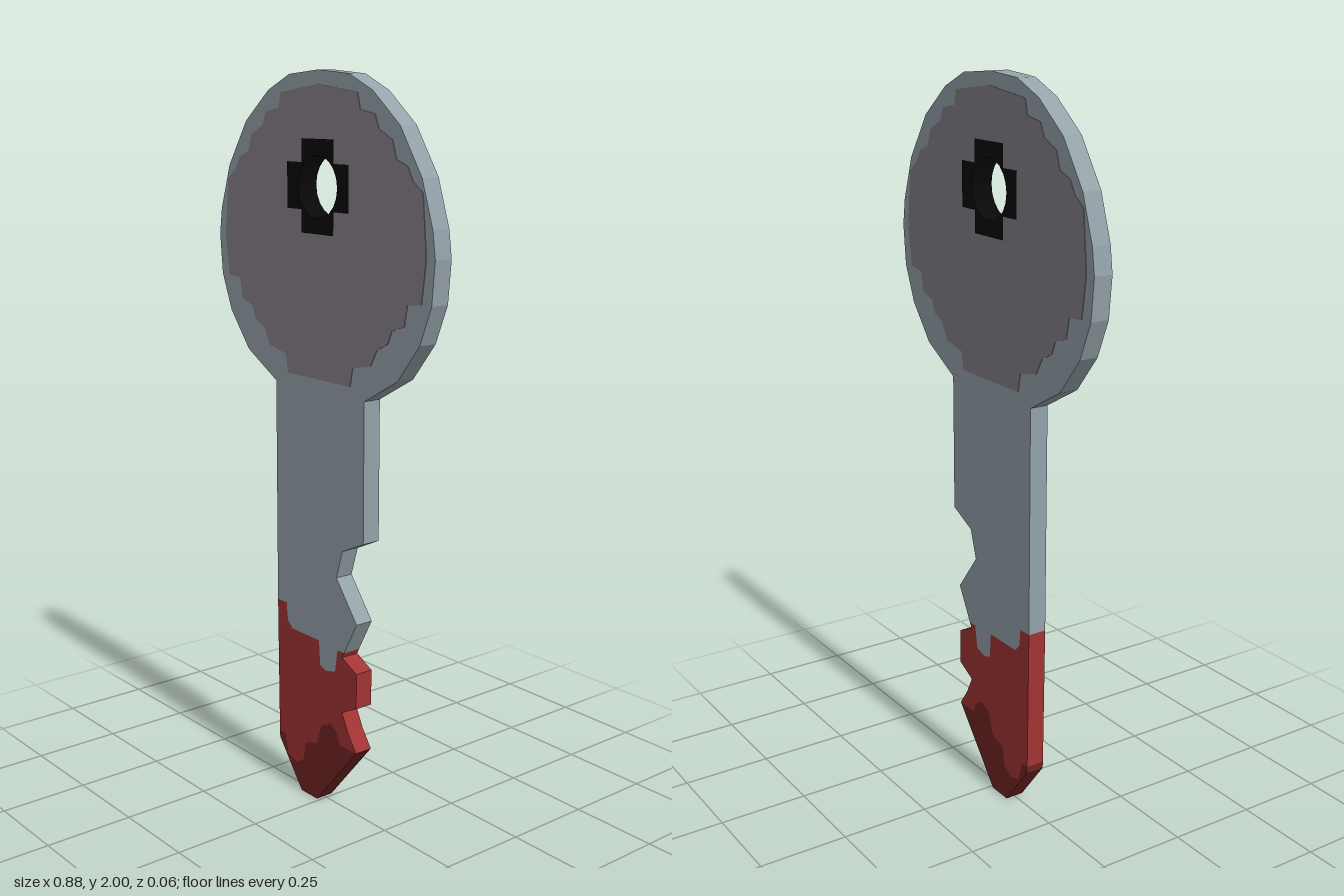
import * as THREE from 'three';
import { mergeGeometries } from 'three/addons/utils/BufferGeometryUtils.js';

const HALF = 0.0265; // half the key's thickness

const material = (name, color, side = THREE.FrontSide) => {
  const m = new THREE.MeshStandardMaterial({ color, side });
  m.name = name;
  return m;
};
const toV = (pts) => pts.map(([x, y]) => new THREE.Vector2(x, y));
const mirror = (pts) => pts.map(([x, y]) => [-x, y]).reverse();

// Front and back faces of an outline at z = +-half
function faces(outline, half, hole) {
  const shape = new THREE.Shape(toV(outline));
  if (hole) shape.holes.push(new THREE.Path(toV(hole)));
  const front = new THREE.ShapeGeometry(shape).translate(0, 0, half);
  const back = new THREE.ShapeGeometry(shape).translate(0, 0, -half);
  back.index.array.reverse();
  back.computeVertexNormals();
  return [front.toNonIndexed(), back.toNonIndexed()];
}

// Flat side walls along an open path, outward on its right-hand side
function walls(path, half) {
  const pos = [];
  for (let i = 0; i < path.length - 1; i++) {
    const [ax, ay] = path[i], [bx, by] = path[i + 1];
    pos.push(ax, ay, -half, bx, by, -half, bx, by, half);
    pos.push(ax, ay, -half, bx, by, half, ax, ay, half);
  }
  const g = new THREE.BufferGeometry();
  g.setAttribute('position', new THREE.Float32BufferAttribute(pos, 3));
  g.setAttribute('uv', new THREE.Float32BufferAttribute(new Array(pos.length / 3 * 2).fill(0), 2));
  g.computeVertexNormals();
  return g;
}

export function createModel() {
  const key = new THREE.Group();
  key.name = 'key';
  const steel = material('steel', 0x94a2aa);
  const tarnish = material('tarnish', 0x857f88);
  const red = material('red', 0xa33434);
  const darkRed = material('darkRed', 0x722323);
  const black = material('black', 0x080808);

  const add = (name, mat, ...parts) => {
    const mesh = new THREE.Mesh(mergeGeometries(parts.flat()), mat);
    mesh.name = name;
    key.add(mesh);
  };

  // Round hole through the head, clockwise
  const hole = Array.from({ length: 20 }, (_, i) => {
    const a = -i / 20 * Math.PI * 2;
    return [0.08 * Math.cos(a), 1.71 + 0.08 * Math.sin(a)];
  });

  // Ragged colour boundaries on the blade, left to right
  const redSeam = [[-0.185, 0.55], [-0.145, 0.55], [-0.14, 0.5], [-0.12, 0.48], [0, 0.48], [0.005, 0.41],
    [0.03, 0.4], [0.07, 0.41], [0.08, 0.475], [0.108, 0.475]];
  const darkSeam = [[-0.181, 0.15], [-0.155, 0.15], [-0.14, 0.09], [-0.1, 0.08], [-0.07, 0.1], [-0.06, 0.155],
    [-0.01, 0.17], [0.01, 0.23], [0.05, 0.25], [0.08, 0.23], [0.09, 0.2], [0.16, 0.2]];

  // Head and upper blade
  const headRight = [[0.185, 1.18], [0.31, 1.25], [0.39, 1.35], [0.43, 1.45], [0.44, 1.56],
    [0.43, 1.63], [0.39, 1.75], [0.31, 1.87], [0.21, 1.95], [0.12, 1.99]];
  const upper = [[0.108, 0.475], [0.16, 0.57], [0.075, 0.68], [0.1, 0.76], [0.185, 0.8],
    ...headRight, [0, 2], ...mirror(headRight), [-0.185, 0.55]];
  add('headAndBlade', steel, faces([...upper, ...redSeam.slice(1, -1)], HALF, hole), walls(upper, HALF));

  // Red blade section with its teeth
  const teeth = [[0.16, 0.2], [0.125, 0.25], [0.1, 0.3], [0.16, 0.33], [0.16, 0.43], [0.1, 0.46], [0.108, 0.475]];
  add('redBlade', red,
    faces([...teeth, ...[...redSeam].reverse().slice(1), ...darkSeam.slice(0, -1)], HALF),
    walls(teeth, HALF), walls([redSeam[0], darkSeam[0]], HALF));

  // Dark tip
  const tip = [[-0.181, 0.15], [-0.18, 0.13], [-0.08, 0], [-0.01, 0], [0.16, 0.2]];
  add('bladeTip', darkRed, faces([...tip, ...[...darkSeam].reverse().slice(1, -1)], HALF), walls(tip, HALF));

  // Tarnished panel with stepped corners on both sides of the head
  const panelRight = [[0.13, 1.21], [0.14, 1.26], [0.21, 1.275], [0.235, 1.32], [0.275, 1.34], [0.29, 1.375],
    [0.335, 1.39], [0.345, 1.445], [0.395, 1.45], [0.41, 1.56], [0.395, 1.715], [0.36, 1.74], [0.34, 1.775],
    [0.3, 1.79], [0.285, 1.835], [0.235, 1.86], [0.22, 1.895], [0.165, 1.905], [0.155, 1.945]];
  const panel = [...panelRight, [0, 1.965], ...mirror(panelRight)];
  add('headPanel', tarnish, faces(panel, HALF + 0.0015, hole), walls([...panel, panel[0]], HALF + 0.0015));

  // Black cross around the hole, with the hole's lining
  const armRight = [[0.065, 1.59], [0.065, 1.65], [0.125, 1.65], [0.125, 1.77], [0.065, 1.77], [0.065, 1.83]];
  const cross = [...armRight, ...mirror(armRight)];
  add('holeCross', black, faces(cross, HALF + 0.004, hole), walls([...hole, hole[0]], HALF + 0.004));

  return key;
}
